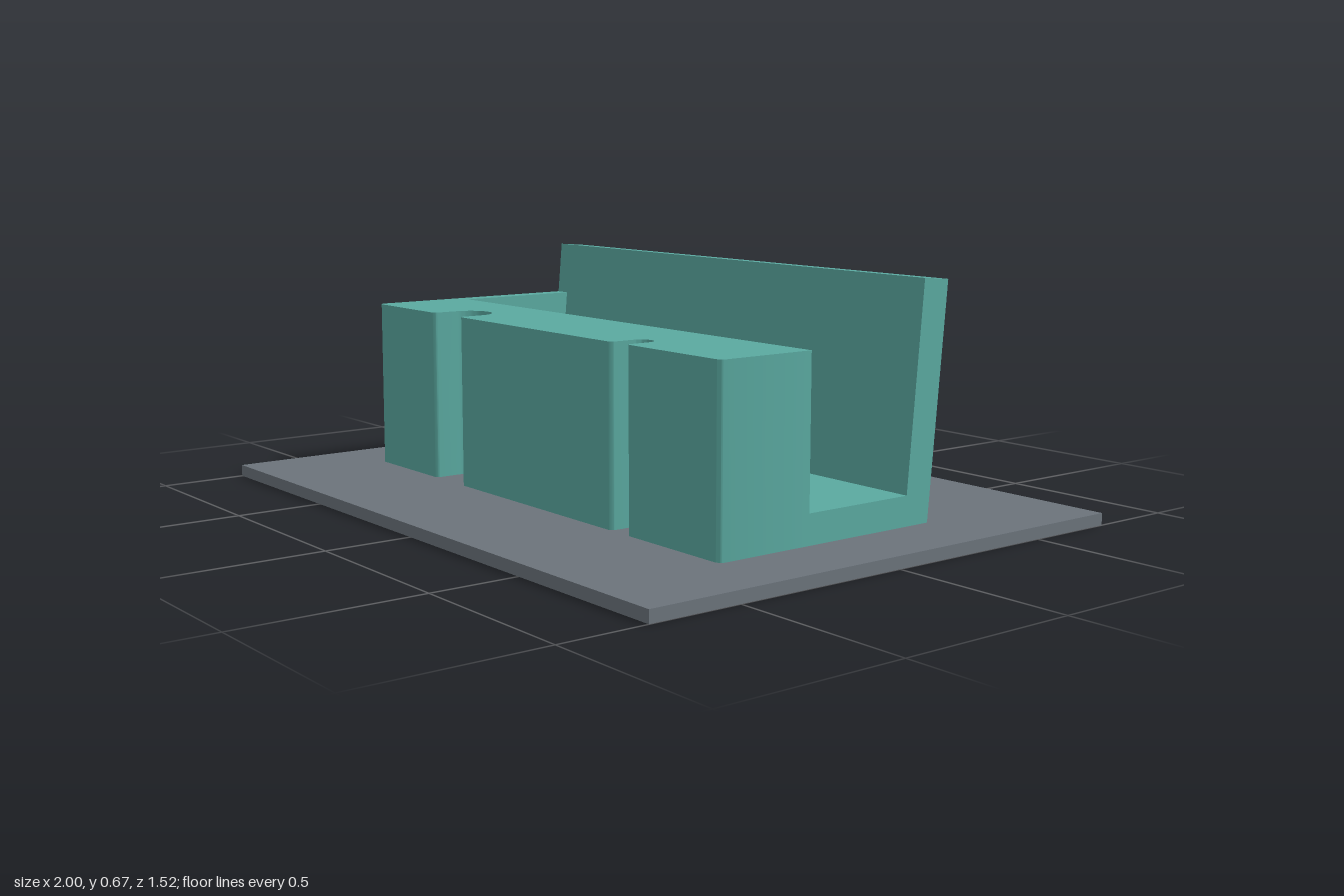
import * as THREE from 'three';
import { toCreasedNormals } from 'three/addons/utils/BufferGeometryUtils.js';

const teal = new THREE.MeshStandardMaterial({ color: 0x5aa9a0 });
const grey = new THREE.MeshStandardMaterial({ color: 0x6b737b });

const BASE = 0.033, TOP = 0.514, FLOOR = 0.114;
const LEFT = -0.798, RIGHT = 0.795, FRONT = 0.39, SLOT = 0.105;
const TILT = THREE.MathUtils.degToRad(5);

function add(parent, name, geometry, material = teal) {
  const mesh = new THREE.Mesh(geometry, material);
  mesh.name = name;
  parent.add(mesh);
  return mesh;
}

// Side profile given as [z, y] pairs (clockwise seen from +z,y), extruded from x0 to x1
function sideExtrude(points, x0, x1) {
  const shape = new THREE.Shape(points.map(([z, y]) => new THREE.Vector2(-z, y)));
  const geo = new THREE.ExtrudeGeometry(shape, { depth: x1 - x0, bevelEnabled: false });
  return geo.rotateY(Math.PI / 2).translate(x0, 0, 0);
}

// Front block outline: rounded outer corners and two round-bottomed notches
function frontBlock() {
  const f = 0.02, n = 0.014, s = new THREE.Shape();
  s.moveTo(LEFT, -SLOT);
  s.lineTo(LEFT, -FRONT + f);
  s.absarc(LEFT + f, -FRONT + f, f, Math.PI, Math.PI * 1.5, false);
  for (const [x, r, depth] of [[-0.41, 0.068, 0.25], [0.403, 0.032, 0.287]]) {
    const y = -depth - r;
    s.lineTo(x - r - n, -FRONT);
    s.absarc(x - r - n, -FRONT + n, n, -Math.PI / 2, 0, false);
    s.lineTo(x - r, y);
    s.absarc(x, y, r, Math.PI, 0, true);
    s.lineTo(x + r, -FRONT + n);
    s.absarc(x + r + n, -FRONT + n, n, Math.PI, Math.PI * 1.5, false);
  }
  s.lineTo(RIGHT - f, -FRONT);
  s.absarc(RIGHT - f, -FRONT + f, f, -Math.PI / 2, 0, false);
  s.lineTo(RIGHT, -SLOT);
  s.closePath();
  const geo = new THREE.ExtrudeGeometry(s, { depth: TOP - BASE, bevelEnabled: false, curveSegments: 16 });
  return toCreasedNormals(geo.rotateX(-Math.PI / 2).translate(0, BASE, 0), 0.5);
}

// Turned pin pointing along dir from start; profile is [radius, distance]
function pin(profile, start, dir) {
  const lathe = new THREE.LatheGeometry(profile.map(([r, h]) => new THREE.Vector2(r, h)), 32);
  const geo = toCreasedNormals(lathe, 0.5);
  geo.applyQuaternion(new THREE.Quaternion().setFromUnitVectors(new THREE.Vector3(0, 1, 0), dir));
  return geo.translate(start.x, start.y, start.z);
}

export function createModel() {
  const model = new THREE.Group();
  model.name = 'wallHolder';

  // Ground plate
  add(model, 'basePlate', new THREE.BoxGeometry(2, BASE, 1.516).translate(0, BASE / 2, 0), grey);

  // Holder body: front block, floor with leaning back panel, closed left end
  const holder = new THREE.Group();
  holder.name = 'holder';
  model.add(holder);
  add(holder, 'frontBlock', frontBlock());
  add(holder, 'floorAndBackPanel', sideExtrude([
    [SLOT, BASE], [-0.309, BASE], [-0.366, 0.66], [-0.281, 0.667], [-0.232, FLOOR], [SLOT, FLOOR],
  ], LEFT, RIGHT));
  add(holder, 'endWall', sideExtrude([
    [SLOT, FLOOR], [-0.232, FLOOR], [-0.267, TOP], [SLOT, TOP],
  ], LEFT, -0.75));

  // Mounting pins square to the back panel: straight above, hooked below
  const back = new THREE.Vector3(0, -Math.sin(TILT), -Math.cos(TILT));
  const hookDir = new THREE.Vector3(0, -0.6, -0.8);
  for (const x of [-0.611, 0.607]) {
    const side = x < 0 ? 'Right' : 'Left';
    add(model, 'upperPin' + side, pin(
      [[0, 0], [0.043, 0], [0.043, 0.079], [0.038, 0.084], [0, 0.084]],
      new THREE.Vector3(x, 0.531, -0.34), back));

    const hook = new THREE.Group();
    hook.name = 'lowerHook' + side;
    model.add(hook);
    const elbow = new THREE.Vector3(x, 0.118, -0.364);
    add(hook, 'hookStem', pin([[0, 0], [0.043, 0], [0.043, 0.064]],
      elbow.clone().addScaledVector(back, -0.064), back));
    add(hook, 'hookElbow', new THREE.SphereGeometry(0.043, 32, 20).translate(x, elbow.y, elbow.z));
    const tip = [[0, 0], [0.036, 0]];
    for (let i = 0; i <= 8; i++) {
      const a = (i / 8) * Math.PI / 2;
      tip.push([0.036 * Math.cos(a), 0.09 + 0.036 * Math.sin(a)]);
    }
    add(hook, 'hookTip', pin(tip, elbow, hookDir));
  }
  return model;
}
